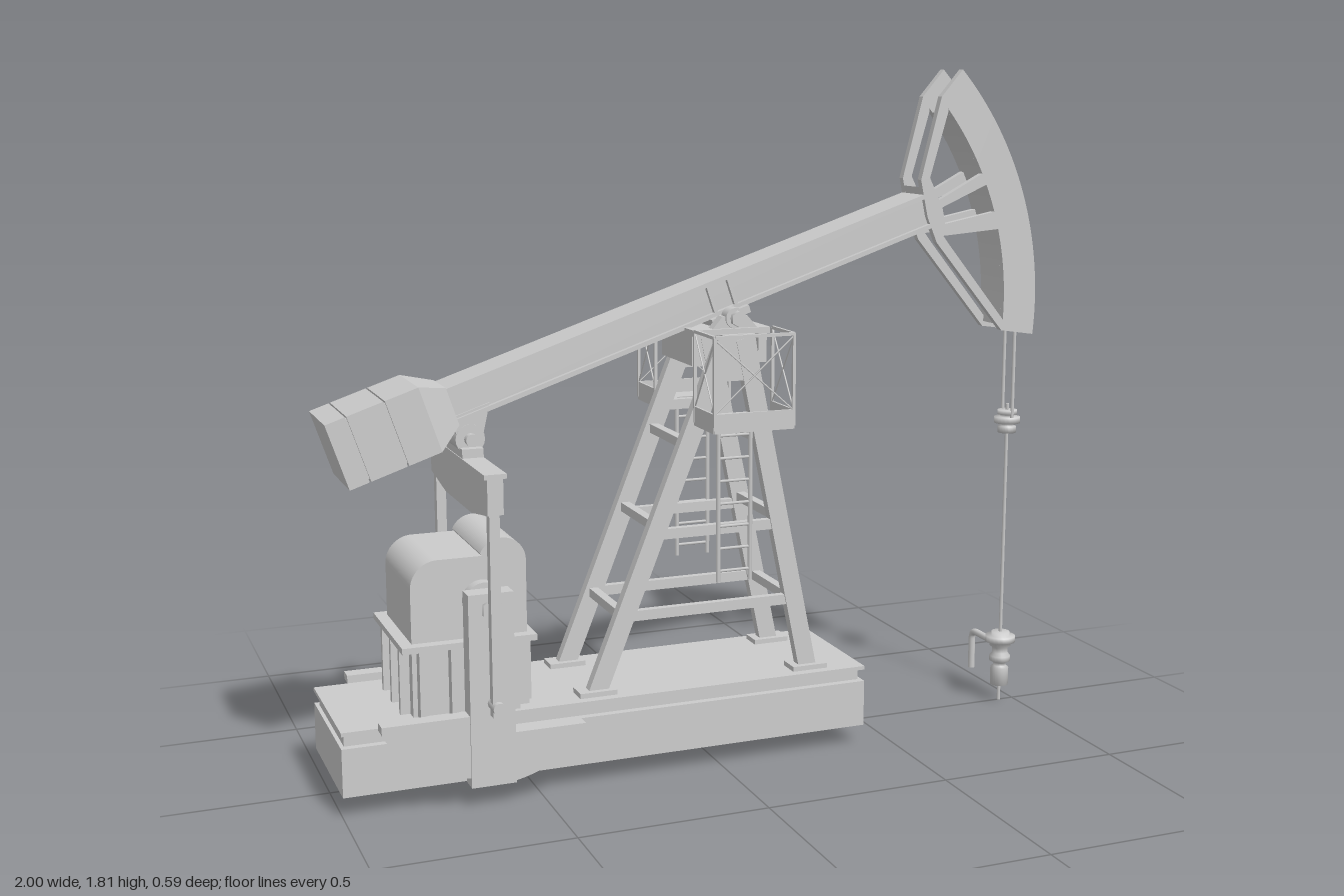
import * as THREE from 'three';

const mat = new THREE.MeshStandardMaterial({ color: 0xcccccc, side: THREE.DoubleSide });
const V = (x, y, z) => new THREE.Vector3(x, y, z);

function add(parent, name, geo, x = 0, y = 0, z = 0) {
  const m = new THREE.Mesh(geo, mat);
  m.name = name;
  m.position.set(x, y, z);
  parent.add(m);
  return m;
}
// box given by its limits on each axis
const box = (p, name, x0, x1, y0, y1, z0, z1) =>
  add(p, name, new THREE.BoxGeometry(x1 - x0, y1 - y0, z1 - z0), (x0 + x1) / 2, (y0 + y1) / 2, (z0 + z1) / 2);
// square bar or round rod between two points
function span(p, name, a, b, geo) {
  const m = add(p, name, geo);
  m.position.copy(a).add(b).multiplyScalar(0.5);
  m.quaternion.setFromUnitVectors(V(0, 1, 0), b.clone().sub(a).normalize());
  return m;
}
const bar = (p, name, a, b, w, d = w) => span(p, name, a, b, new THREE.BoxGeometry(w, a.distanceTo(b), d));
const rod = (p, name, a, b, r, n = 12) => span(p, name, a, b, new THREE.CylinderGeometry(r, r, a.distanceTo(b), n));
// side profile extruded from z0 to z1
const plate = (p, name, shape, z0, z1) =>
  add(p, name, new THREE.ExtrudeGeometry(shape, { depth: z1 - z0, bevelEnabled: false, curveSegments: 24 }), 0, 0, z0);
const poly = pts => new THREE.Shape(pts.map(q => new THREE.Vector2(...q)));
function group(parent, name) {
  const g = new THREE.Group();
  g.name = name;
  parent.add(g);
  return g;
}

const PX = 0.065, PY = 1.18; // walking beam pivot

function buildBase(root) {
  const g = group(root, 'base');
  box(g, 'skid', -1, 0.42, 0.055, 0.18, -0.185, 0.185);
  box(g, 'skidWeb', -0.99, 0.41, 0.18, 0.212, -0.165, 0.165);
  box(g, 'deck', -1, 0.42, 0.212, 0.222, -0.185, 0.185);
}

function buildGearbox(root) {
  const g = group(root, 'gearbox');
  box(g, 'lowerHousing', -0.81, -0.51, 0.22, 0.4, -0.14, 0.14);
  box(g, 'housingFlange', -0.84, -0.495, 0.396, 0.412, -0.17, 0.17);
  const s = new THREE.Shape();
  s.moveTo(-0.81, 0.41);
  s.lineTo(-0.81, 0.55);
  s.absarc(-0.74, 0.55, 0.07, Math.PI, Math.PI / 2, true);
  s.lineTo(-0.627, 0.62);
  s.absarc(-0.575, 0.6, 0.062, 2.7, 0, true);
  s.lineTo(-0.513, 0.41);
  plate(g, 'upperHousing', s, -0.14, 0.14);
  for (const sz of [-1, 1]) {
    for (const x of [-0.79, -0.71, -0.55])
      box(g, 'housingRib', x - 0.008, x + 0.008, 0.22, 0.4, sz * 0.155 - 0.015, sz * 0.155 + 0.015);
    rod(g, 'shaftHousing', V(-0.63, 0.51, sz * 0.13), V(-0.63, 0.51, sz * 0.17), 0.05, 20);
  }
  for (const z of [-0.1, 0, 0.1]) {
    box(g, 'rearRib', -0.835, -0.81, 0.22, 0.4, z - 0.008, z + 0.008);
    box(g, 'frontRib', -0.51, -0.495, 0.22, 0.4, z - 0.008, z + 0.008);
  }
}

function buildCranks(root) {
  const g = group(root, 'cranks');
  rod(g, 'crankShaft', V(-0.63, 0.51, -0.25), V(-0.63, 0.51, 0.25), 0.028, 6);
  // counterweight with a curved underside
  const w = new THREE.Shape();
  w.moveTo(-0.91, 0.24);
  w.lineTo(-0.575, 0.24);
  w.lineTo(-0.575, 0.185);
  w.lineTo(-0.39, 0.185);
  w.quadraticCurveTo(-0.46, 0.07, -0.6, 0.055);
  w.lineTo(-0.69, 0.08);
  w.quadraticCurveTo(-0.85, 0.1, -0.91, 0.22);
  for (const s of [-1, 1]) {
    const c = s * 0.214;
    box(g, 'crankArm', -0.69, -0.575, 0.055, 0.55, c - 0.026, c + 0.026);
    plate(g, 'crankWeight', w, c - 0.021, c + 0.021);
    rod(g, 'crankPin', V(-0.63, 0.27, s * 0.23), V(-0.63, 0.27, s * 0.295), 0.016);
    box(g, 'pitmanArm', -0.643, -0.617, 0.245, 0.76, s * 0.267 - 0.013, s * 0.267 + 0.013);
  }
}

function buildEqualizer(root) {
  const g = group(root, 'equalizer');
  // cross beam with a belly, profile drawn across z
  const b = plate(g, 'equalizerBeam', poly([[-0.285, 0.85], [0.285, 0.85], [0.285, 0.755], [0.13, 0.73], [-0.13, 0.73], [-0.285, 0.755]]), 0, 0.04);
  b.rotation.y = Math.PI / 2;
  b.position.set(-0.648, 0, 0);
  box(g, 'equalizerCap', -0.657, -0.6, 0.845, 0.857, -0.29, 0.29);
  box(g, 'bearingBase', -0.655, -0.6, 0.855, 0.88, -0.08, 0.08);
  rod(g, 'equalizerBearing', V(-0.627, 0.9, -0.055), V(-0.627, 0.9, 0.055), 0.038, 20);
  rod(g, 'bearingPin', V(-0.627, 0.9, -0.075), V(-0.627, 0.9, 0.075), 0.016);
  for (const s of [-1, 1])
    plate(g, 'hangerBracket', poly([[-0.68, 0.955], [-0.575, 0.99], [-0.595, 0.9], [-0.655, 0.9]]), s * 0.045 - 0.008, s * 0.045 + 0.008);
}

function buildTower(root) {
  const g = group(root, 'tower');
  const lx = y => -0.33 + (y - 0.22) * 0.4, rx = y => 0.27 - (y - 0.22) * 0.207;
  for (const s of [-1, 1]) {
    const z = s * 0.13;
    for (const f of [lx, rx]) {
      bar(g, 'towerLeg', V(f(0.225), 0.225, z), V(f(1.13), 1.13, z), 0.05, 0.028);
      box(g, 'foot', f(0.22) - 0.05, f(0.22) + 0.05, 0.22, 0.235, z - 0.03, z + 0.03);
    }
    for (const y of [0.42, 0.63, 0.92]) bar(g, 'sideBrace', V(lx(y), y, z), V(rx(y), y, z), 0.027, 0.02);
    plate(g, 'gusset', poly([[0.0, 1.02], [0.13, 1.02], [0.11, 1.14], [0.02, 1.14]]), z - 0.012, z + 0.012);
    // ladder hanging below the platform
    const zl = s * 0.15;
    for (const x of [0.005, 0.095]) rod(g, 'ladderRail', V(x, 0.49, zl), V(x, 0.93, zl), 0.006, 6);
    for (let i = 0; i < 7; i++) rod(g, 'ladderRung', V(0.005, 0.52 + i * 0.06, zl), V(0.095, 0.52 + i * 0.06, zl), 0.004, 6);
  }
  for (const f of [lx, rx])
    for (const y of [0.42, 0.65, 0.86]) bar(g, 'crossBrace', V(f(y), y, -0.13), V(f(y), y, 0.13), 0.024);
  box(g, 'topPlate', -0.055, 0.16, 1.138, 1.154, -0.125, 0.125);
  for (const x of [-0.04, 0.145]) box(g, 'topBeam', x - 0.012, x + 0.012, 1.06, 1.14, -0.11, 0.11);

  for (const s of [-1, 1]) buildPlatform(g, s);

  // saddle bearing carrying the beam
  rod(g, 'saddlePin', V(PX, PY, -0.145), V(PX, PY, 0.145), 0.015);
  for (const s of [-1, 1]) {
    rod(g, 'saddleBearing', V(PX, PY, s * 0.085), V(PX, PY, s * 0.12), 0.027, 18);
    rod(g, 'pinNut', V(PX, PY, s * 0.13), V(PX, PY, s * 0.145), 0.021, 6);
    plate(g, 'saddleBlock', poly([[0, 1.15], [0.13, 1.15], [0.1, 1.185], [0.03, 1.185]]), s * 0.1 - 0.015, s * 0.1 + 0.015);
  }
}

function buildPlatform(parent, s) {
  const g = group(parent, 'platform');
  const x0 = -0.058, x1 = 0.158, z0 = s * 0.145, z1 = s * 0.278;
  // floor with a round ladder opening
  const f = poly([[x0, 0.135], [x1, 0.135], [x1, 0.278], [x0, 0.278]]);
  const hole = new THREE.Path();
  hole.absarc(0.05, 0.172, 0.034, 0, Math.PI * 2, true);
  f.holes.push(hole);
  const floor = plate(g, 'platformFloor', f, 0, 0.01);
  floor.rotation.x = s * Math.PI / 2;
  floor.position.y = s > 0 ? 0.925 : 0.915;
  // kick boards
  bar(g, 'kickBoard', V(x0, 0.937, z1), V(x1, 0.937, z1), 0.05, 0.006);
  for (const x of [x0, x1]) box(g, 'kickBoard', x - 0.003, x + 0.003, 0.912, 0.962, Math.min(z0, z1), Math.max(z0, z1));
  // guard rails with thin diagonal braces
  const c = [V(x0, 0, z0), V(x0, 0, z1), V(x1, 0, z1), V(x1, 0, z0)];
  const at = (p, y) => V(p.x, y, p.z);
  c.forEach((p, i) => {
    bar(g, 'railPost', at(p, 0.92), at(p, 1.155), 0.008);
    if (i === 3) return;
    const q = c[i + 1];
    bar(g, 'topRail', at(p, 1.155), at(q, 1.155), 0.008);
    rod(g, 'railBrace', at(p, 0.96), at(q, 1.15), 0.0022, 5);
    rod(g, 'railBrace', at(q, 0.96), at(p, 1.15), 0.0022, 5);
  });
}

function buildBeam(root) {
  const g = group(root, 'walkingBeam');
  g.position.set(0, 1.215, 0);
  g.rotation.z = 0.326;
  box(g, 'beamWeb', -0.76, 0.69, -0.04, 0.04, -0.048, 0.048);
  for (const y of [-0.041, 0.041]) box(g, 'beamFlange', -0.76, 0.69, y - 0.006, y + 0.006, -0.062, 0.062);
  for (const x of [0.025, 0.085]) box(g, 'stiffener', x - 0.005, x + 0.005, -0.045, 0.045, -0.061, 0.061);
  box(g, 'saddleMount', 0.0, 0.11, -0.065, -0.045, -0.08, 0.08);
  // tail weight: slabs plus a tapering neck
  for (const [a, b] of [[-1.024, -0.972], [-0.968, -0.872], [-0.868, -0.78]])
    box(g, 'tailWeight', a, b, -0.087, 0.087, -0.105, 0.105);
  box(g, 'tailCore', -1.0, -0.8, -0.08, 0.08, -0.098, 0.098);
  const neck = new THREE.BoxGeometry(0.07, 0.174, 0.21);
  const p = neck.attributes.position;
  for (let i = 0; i < p.count; i++)
    if (p.getX(i) > 0) p.setXYZ(i, p.getX(i), p.getY(i) * 0.58, p.getZ(i) * 0.62);
  neck.computeVertexNormals();
  add(g, 'tailNeck', neck, -0.745, 0, 0);
}

function buildHead(root) {
  const g = group(root, 'horseHead');
  const s = new THREE.Shape();
  s.moveTo(0.89, 1.1);
  s.lineTo(0.99, 1.085);
  s.absarc(PX, PY, 0.93, -0.1, 0.747, false);
  s.lineTo(0.685, 1.74);
  s.lineTo(0.628, 1.52);
  s.lineTo(0.65, 1.42);
  s.lineTo(0.68, 1.35);
  // openings between the struts, each closed by the inner arc
  const opening = (pts, a0, a1) => {
    const h = new THREE.Path();
    h.moveTo(...pts[0]);
    pts.slice(1).forEach(q => h.lineTo(...q));
    h.absarc(PX, PY, 0.83, a0, a1, false);
    s.holes.push(h);
  };
  opening([[0.706, 1.70], [0.655, 1.525], [0.685, 1.465]], 0.44, 0.69);
  opening([[0.695, 1.445], [0.705, 1.4]], 0.305, 0.4);
  opening([[0.70, 1.368], [0.715, 1.348]], -0.06, 0.245);
  for (const z of [-0.062, 0.042]) plate(g, 'headSide', s, z, z + 0.02);
  // curved track between the side plates
  const t = new THREE.Shape();
  t.absarc(PX, PY, 0.9, -0.08, 0.672, false);
  t.absarc(PX, PY, 0.83, 0.672, -0.08, true);
  plate(g, 'cableTrack', t, -0.045, 0.045);
  plate(g, 'headSocket', poly([[0.632, 1.5], [0.66, 1.39], [0.7, 1.405], [0.68, 1.475]]), -0.045, 0.045);
}

function buildWell(root) {
  const g = group(root, 'wellString');
  const x = 0.955;
  const lathe = (name, pts) => add(g, name, new THREE.LatheGeometry(pts.map(q => new THREE.Vector2(...q)), 20), x, 0, 0);
  for (const z of [-0.026, 0.026]) rod(g, 'bridleCable', V(x, 0.83, z), V(x, 1.44, z), 0.005, 8);
  rod(g, 'polishedRod', V(x, 0, 0), V(x, 0.88, 0), 0.005, 8);
  lathe('carrierBar', [[0, 0.797], [0.026, 0.797], [0.026, 0.815], [0.018, 0.815], [0.018, 0.825], [0.037, 0.825],
    [0.037, 0.842], [0.02, 0.842], [0.02, 0.85], [0.028, 0.85], [0.028, 0.862], [0, 0.862]]);
  lathe('wellhead', [[0, 0.048], [0.026, 0.048], [0.026, 0.1], [0.018, 0.105], [0.018, 0.115], [0.03, 0.12], [0.03, 0.135],
    [0.022, 0.145], [0.022, 0.16], [0.03, 0.165], [0.03, 0.178], [0.043, 0.178], [0.043, 0.195], [0.026, 0.195], [0.026, 0.207], [0, 0.207]]);
  const path = new THREE.CurvePath();
  path.add(new THREE.LineCurve3(V(x, 0.165, 0), V(x, 0.165, -0.135)));
  path.add(new THREE.QuadraticBezierCurve3(V(x, 0.165, -0.135), V(x, 0.165, -0.16), V(x, 0.14, -0.16)));
  path.add(new THREE.LineCurve3(V(x, 0.14, -0.16), V(x, 0.05, -0.16)));
  add(g, 'flowPipe', new THREE.TubeGeometry(path, 40, 0.01, 10));
}

export function createModel() {
  const root = new THREE.Group();
  root.name = 'pumpjack';
  [buildBase, buildGearbox, buildCranks, buildEqualizer, buildTower, buildBeam, buildHead, buildWell].forEach(f => f(root));
  return root;
}
